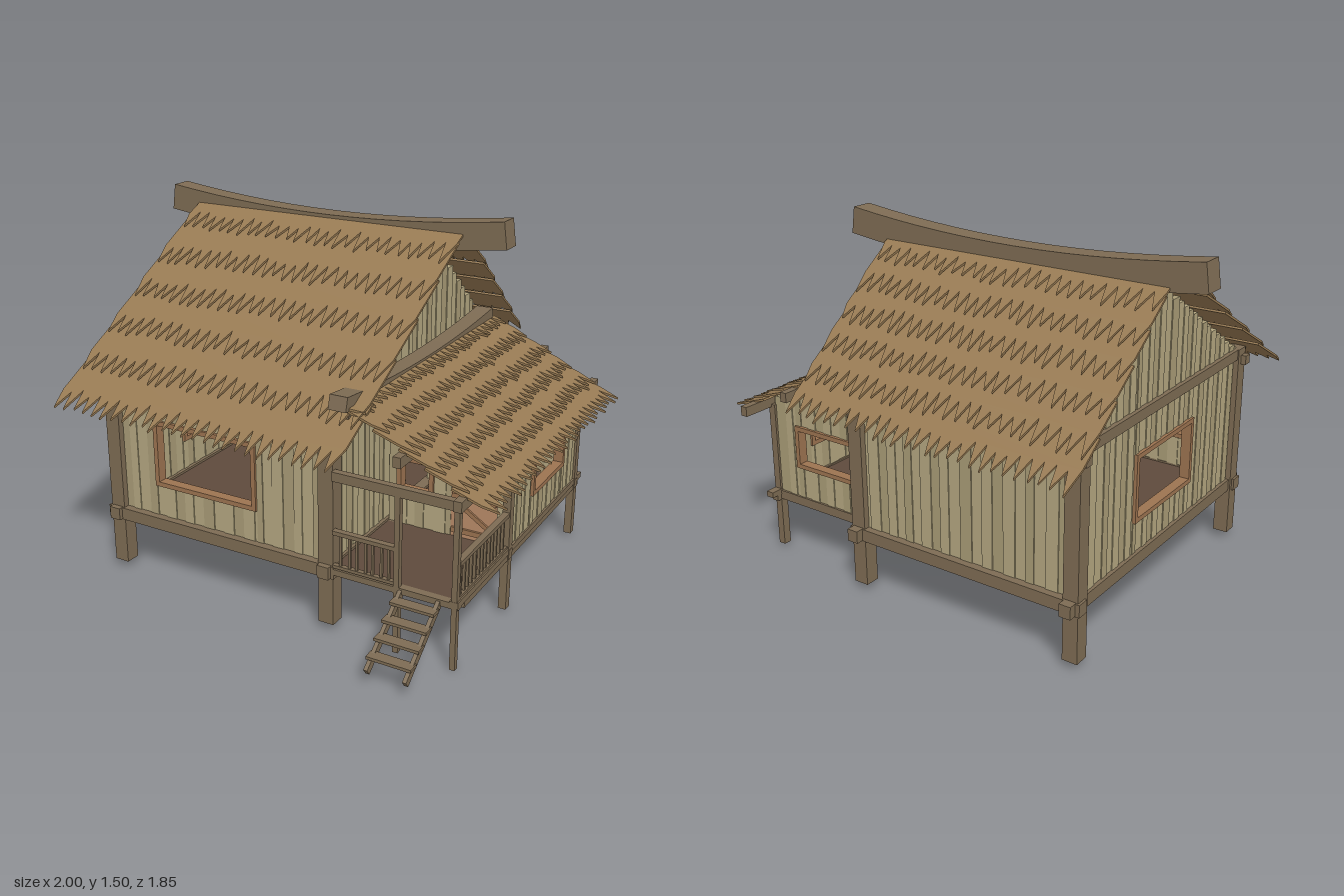
import * as THREE from 'three';

const mat = (color) => new THREE.MeshStandardMaterial({ color, flatShading: true });
const MAT = {
  wood: mat(0x7d6b53), plank: mat(0xb3a680), plankDark: mat(0xa89b76), thatch: mat(0x977a53),
  frame: mat(0x9c7350), floor: mat(0x5e4a3c), door: mat(0xb98b69),
};
MAT.thatch.side = THREE.DoubleSide;

// Small seeded generator
let seed = 7;
const rand = () => (seed = (seed * 16807) % 2147483647) / 2147483647;

function add(parent, name, geo, material) {
  const m = new THREE.Mesh(geo, material);
  m.name = name;
  parent.add(m);
  return m;
}

// Box given by its limits on each axis
function box(parent, name, material, [x0, x1], [y0, y1], [z0, z1]) {
  const m = add(parent, name, new THREE.BoxGeometry(x1 - x0, y1 - y0, z1 - z0), material);
  m.position.set((x0 + x1) / 2, (y0 + y1) / 2, (z0 + z1) / 2);
  return m;
}

// Box on a wall: u runs along the wall, p is across it
function wallBox(parent, name, material, axis, u, y, p) {
  return axis === 'x' ? box(parent, name, material, u, y, p) : box(parent, name, material, p, y, u);
}

function group(parent, name) {
  const g = new THREE.Group();
  g.name = name;
  parent.add(g);
  return g;
}

// Upright planks along an axis, cut by holes [u0, u1, y0, y1], topped by a rule
function plankWall(parent, name, axis, pos, a, b, y0, top, holes = []) {
  const g = group(parent, name);
  const edges = holes.flatMap((h) => [h[0], h[1]]);
  const cuts = [a, b, ...edges];
  for (let u = a + 0.045; u < b - 0.02; u += 0.036 + rand() * 0.02) {
    if (edges.every((e) => Math.abs(e - u) > 0.012)) cuts.push(u);
  }
  cuts.sort((p, q) => p - q);
  for (let i = 0; i < cuts.length - 1; i++) {
    const [u0, u1] = [cuts[i], cuts[i + 1]];
    const mid = (u0 + u1) / 2;
    const t = i % 2 ? 0.012 : 0.008;
    let y = y0;
    const spans = [];
    for (const h of holes.filter((k) => mid > k[0] && mid < k[1])) {
      spans.push([y, h[2]]);
      y = h[3];
    }
    spans.push([y, Math.min(top(u0), top(u1))]);
    for (const s of spans) {
      if (s[1] - s[0] > 0.004) {
        wallBox(g, 'plank', i % 3 ? MAT.plank : MAT.plankDark, axis, [u0, u1], s, [pos - t, pos + t]);
      }
    }
  }
}

// Frame around an opening [u0, u1, y0, y1]
function windowFrame(parent, name, axis, pos, [u0, u1, y0, y1]) {
  const g = group(parent, name);
  const p = [pos - 0.022, pos + 0.022];
  const w = 0.02;
  for (const y of [y0, y1 - w]) wallBox(g, 'frameRail', MAT.frame, axis, [u0, u1], [y, y + w], p);
  for (const u of [u0, u1 - w]) wallBox(g, 'frameStile', MAT.frame, axis, [u, u + w], [y0 + w, y1 - w], p);
}

// Overlapping ragged thatch rows; across x down points out of the roof
function thatch(parent, name, origin, across, end, width, rows, spikes) {
  const g = group(parent, name);
  const start = new THREE.Vector3(...origin);
  const down = new THREE.Vector3(...end).sub(start);
  const length = down.length();
  down.normalize();
  const side = new THREE.Vector3(...across);
  const normal = new THREE.Vector3().crossVectors(side, down);
  g.matrixAutoUpdate = true;
  new THREE.Matrix4().makeBasis(side, down, normal).setPosition(start).decompose(g.position, g.quaternion, g.scale);
  const step = length / rows;
  const depth = Math.min(0.13, step * 0.8);
  for (let i = 0; i < rows; i++) {
    const top = Math.max(0, (i - 0.7) * step);
    const run = (i + 1) * step - top;
    const s = new THREE.Shape().moveTo(0, 0);
    const w = width / spikes;
    s.lineTo(0, run - depth);
    for (let k = 0; k < spikes; k++) {
      s.lineTo((k + 0.35 + rand() * 0.3) * w, run - rand() * 0.025);
      s.lineTo((k + 1) * w, run - depth * (0.75 + rand() * 0.25));
    }
    s.lineTo(width, 0);
    const geo = new THREE.ExtrudeGeometry(s, { depth: 0.009, bevelEnabled: false });
    const m = add(g, 'thatchRow', geo, MAT.thatch);
    m.position.y = top;
    m.rotation.x = 0.028 / run;
  }
}

// Sagging beam drawn from its bottom and top end heights
function saggingBeam(parent, name, x0, x1, y0, y1, sag, thick) {
  const s = new THREE.Shape().moveTo(x0, y0);
  s.quadraticCurveTo((x0 + x1) / 2, y0 - 2 * sag, x1, y0);
  s.lineTo(x1 - 0.015, y1);
  s.quadraticCurveTo((x0 + x1) / 2, y1 - 2 * sag, x0 + 0.015, y1);
  const geo = new THREE.ExtrudeGeometry(s, { depth: thick, bevelEnabled: false, curveSegments: 14 });
  return add(parent, name, geo.translate(0, 0, -thick / 2), MAT.wood);
}

export function createModel() {
  seed = 7;
  const root = new THREE.Group();
  root.name = 'stiltHouse';
  const W = MAT.wood;

  // Stilts and frame of the main room
  const frame = group(root, 'mainFrame');
  for (const x of [-0.725, 0.297]) {
    box(frame, 'frontPost', W, [x - 0.033, x + 0.033], [0.03, 0.9], [0.59, 0.655]);
    box(frame, 'backPost', W, [x - 0.033, x + 0.033], [0.03, 0.96], [-0.69, -0.625]);
    box(frame, 'sideSill', W, [x - 0.025, x + 0.025], [0.237, 0.29], [-0.73, 0.68]);
    box(frame, 'tieBeam', W, [x - 0.028, x + 0.028], [0.855, 0.9], [-0.745, 0.67]);
  }
  for (const z of [0.635, -0.67]) {
    box(frame, 'longSill', W, [-0.768, 0.335], [0.235, 0.288], [z - 0.027, z + 0.027]);
    box(frame, 'wallPlate', W, [-0.78, 0.35], [0.83, 0.87], [z - 0.02, z + 0.02]);
  }
  box(frame, 'mainFloor', MAT.floor, [-0.72, 0.29], [0.255, 0.28], [-0.66, 0.62]);
  for (const x of [-0.49, -0.23, 0.05]) box(frame, 'joist', W, [x - 0.015, x + 0.015], [0.228, 0.256], [-0.64, 0.61]);

  // Main walls, with stepped gables under the roof
  const gable = (z) => Math.min(1.43 - 0.637 * (z + 0.19), 1.385 + 0.885 * (z + 0.25)) - 0.015;
  const frontWin = [-0.525, -0.03, 0.425, 0.715];
  const leftWin = [-0.26, 0.21, 0.425, 0.715];
  const innerDoor = [-0.25, 0, 0.28, 0.64];
  plankWall(root, 'frontWall', 'x', 0.62, -0.7, 0.27, 0.28, () => 0.9, [frontWin]);
  plankWall(root, 'backWall', 'x', -0.655, -0.7, 0.27, 0.28, () => 0.99);
  plankWall(root, 'leftWall', 'z', -0.725, -0.64, 0.61, 0.28, gable, [leftWin]);
  plankWall(root, 'rightWall', 'z', 0.297, -0.64, 0.61, 0.28, gable, [innerDoor]);
  windowFrame(root, 'frontWindow', 'x', 0.62, frontWin);
  windowFrame(root, 'leftWindow', 'z', -0.725, leftWin);

  // Main roof with sagging ridge beam
  thatch(root, 'frontRoof', [0.455, 1.43, -0.19], [-1, 0, 0], [0.455, 0.755, 0.87], 1.305, 6, 27);
  thatch(root, 'backRoof', [-0.85, 1.385, -0.25], [1, 0, 0], [-0.85, 0.8, -0.905], 1.305, 6, 27);
  saggingBeam(root, 'ridgeBeam', -1, 0.645, 1.387, 1.5, 0.055, 0.095).position.z = -0.217;

  // Side room: posts, sills, floor and roof supports
  const side = group(root, 'sideRoomFrame');
  for (const z of [0.172, -0.59]) {
    box(side, 'sidePost', W, [0.825, 0.858], [0.015, 0.68], [z - 0.018, z + 0.018]);
    box(side, 'crossSill', W, [0.32, 0.86], [0.24, 0.28], [z - 0.018, z + 0.018]);
  }
  for (const x of [0.605, 0.842]) box(side, 'porchPost', W, [x - 0.011, x + 0.011], [0, 0.68], [0.64, 0.664]);
  box(side, 'outerSill', W, [0.822, 0.858], [0.262, 0.287], [-0.66, 0.665]);
  box(side, 'outerLowerSill', W, [0.825, 0.855], [0.235, 0.262], [-0.63, 0.6]);
  box(side, 'porchSill', W, [0.33, 0.858], [0.255, 0.28], [0.63, 0.662]);
  box(side, 'sideFloor', MAT.floor, [0.3, 0.84], [0.26, 0.28], [-0.6, 0.64]);
  box(side, 'porchLintel', W, [0.33, 0.86], [0.65, 0.688], [0.635, 0.665]);
  for (const [x, y] of [[0.86, 0.69], [0.62, 0.805], [0.385, 0.9]]) {
    box(side, 'purlin', W, [x - 0.016, x + 0.016], [y - 0.022, y + 0.02], [-0.75, x > 0.4 ? 0.705 : 0.66]);
  }

  // Side room walls
  const leanTop = (x) => 0.945 - 0.48 * (x - 0.36);
  const outerWin = [-0.405, -0.045, 0.42, 0.612];
  const backWin = [0.38, 0.71, 0.42, 0.612];
  const porchWin = [0.36, 0.525, 0.425, 0.585];
  plankWall(root, 'sideOuterWall', 'z', 0.84, -0.575, 0.16, 0.28, () => 0.7, [outerWin]);
  plankWall(root, 'sideBackWall', 'x', -0.59, 0.32, 0.83, 0.28, leanTop, [backWin]);
  plankWall(root, 'porchWall', 'x', 0.172, 0.32, 0.83, 0.28, leanTop, [porchWin, [0.6, 0.8, 0.28, 0.64]]);
  windowFrame(root, 'sideOuterWindow', 'z', 0.84, outerWin);
  windowFrame(root, 'sideBackWindow', 'x', -0.59, backWin);
  windowFrame(root, 'porchWindow', 'x', 0.172, porchWin);

  // Braced door
  const door = group(root, 'door');
  box(door, 'doorPanel', MAT.door, [0.6, 0.8], [0.28, 0.64], [0.165, 0.178]);
  for (const y of [0.3, 0.45, 0.6]) box(door, 'doorBatten', MAT.frame, [0.605, 0.795], [y, y + 0.022], [0.178, 0.188]);
  for (const y of [0.386, 0.536]) {
    const brace = add(door, 'doorBrace', new THREE.BoxGeometry(0.21, 0.018, 0.009), MAT.frame);
    brace.position.set(0.7, y, 0.182);
    brace.rotation.z = -0.58;
  }

  // Side roof with its own sagging beam
  thatch(root, 'sideRoof', [0.36, 0.95, -0.68], [0, 0, 1], [0.99, 0.635, -0.68], 1.34, 6, 30);
  const sideRidge = saggingBeam(root, 'sideRidgeBeam', -0.66, 0.68, 0.94, 0.995, 0.035, 0.075);
  sideRidge.rotation.y = -Math.PI / 2;
  sideRidge.position.x = 0.362;

  // Porch railings
  const rail = group(root, 'porchRailing');
  const runs = [['x', 0.65, 0.33, 0.605, 8], ['z', 0.842, 0.19, 0.645, 14]];
  for (const [axis, p, a, b, n] of runs) {
    wallBox(rail, 'handRail', W, axis, [a, b], [0.427, 0.444], [p - 0.013, p + 0.013]);
    wallBox(rail, 'footRail', W, axis, [a, b], [0.285, 0.298], [p - 0.01, p + 0.01]);
    for (let i = 1; i < n; i++) {
      const u = a + ((b - a) * i) / n + (rand() - 0.5) * 0.008;
      wallBox(rail, 'baluster', W, axis, [u - 0.005, u + 0.005], [0.295, 0.43], [p - 0.005, p + 0.005]);
    }
  }

  // Steps up to the porch
  const steps = group(root, 'steps');
  for (const x of [0.621, 0.777]) {
    const stringer = add(steps, 'stringer', new THREE.BoxGeometry(0.016, 0.03, 0.335), W);
    stringer.position.set(x, 0.165, 0.782);
    stringer.rotation.x = Math.atan2(0.2, 0.27);
  }
  for (let i = 0; i < 4; i++) {
    const y = 0.245 - i * 0.044;
    const z = 0.7 + i * 0.059;
    box(steps, 'tread', W, [0.608, 0.79], [y - 0.006, y + 0.006], [z - 0.024, z + 0.024]);
  }
  return root;
}
